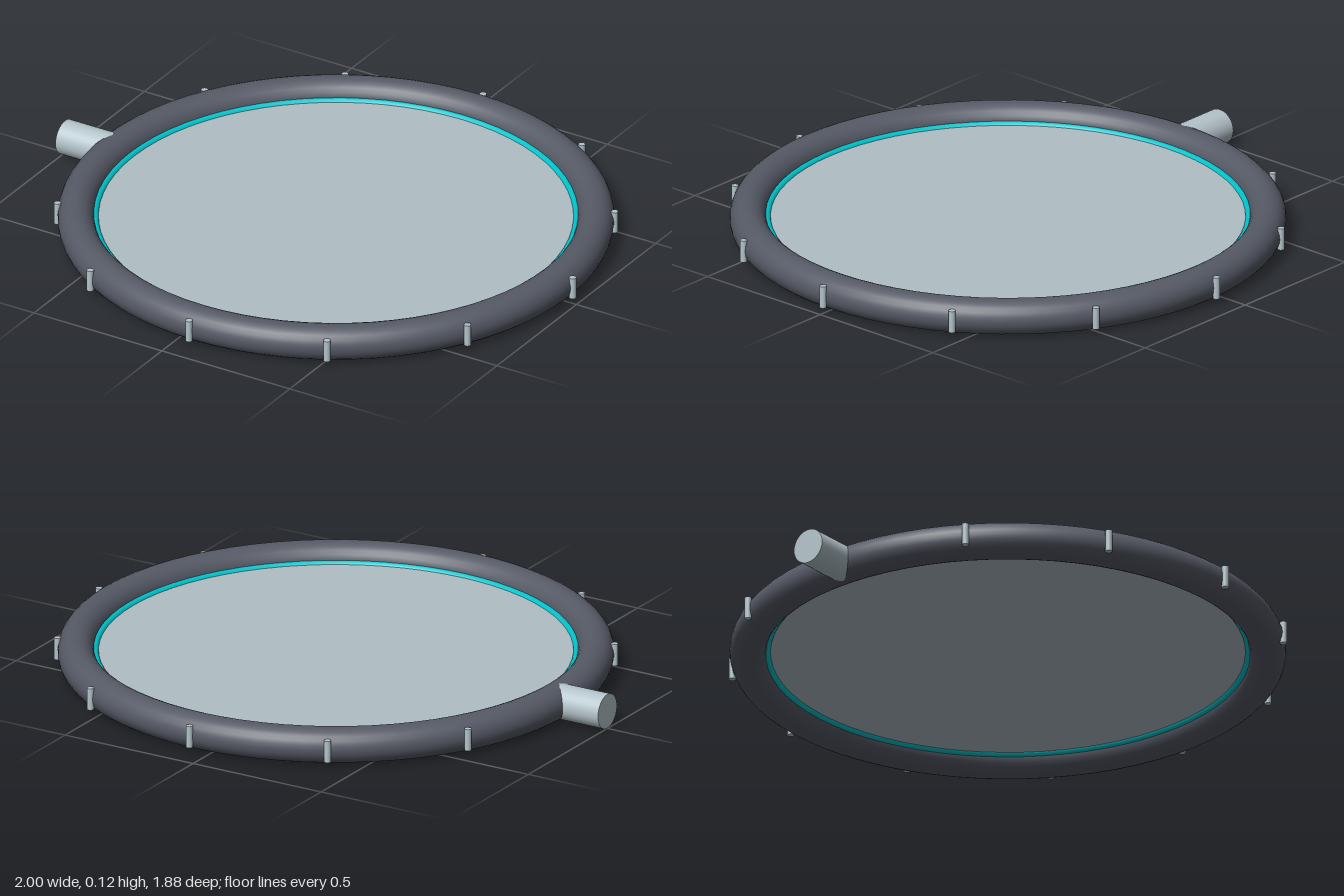
import * as THREE from 'three';

const material = (name, color) => {
  const m = new THREE.MeshStandardMaterial({ color });
  m.name = name;
  return m;
};

export function createModel() {
  const rubber = material('dark grey', 0x565a66);
  const steel = material('pale steel', 0xb4c4cb);
  const glass = material('pale panel', 0xb0bec5);
  const teal = material('teal trim', 0x00c4cc);

  const model = new THREE.Group();
  model.name = 'roundPanel';
  const midY = 0.061;
  const body = new THREE.Group();
  body.name = 'body';
  body.position.set(0.06, midY, 0);
  model.add(body);

  const add = (name, geometry, mat, x = 0, y = 0, z = 0) => {
    const mesh = new THREE.Mesh(geometry, mat);
    mesh.name = name;
    mesh.position.set(x, y, z);
    body.add(mesh);
    return mesh;
  };

  // Thick outer tube
  add('outerRing', new THREE.TorusGeometry(0.864, 0.061, 24, 72).rotateX(Math.PI / 2), rubber);

  // Thin trim where the panel meets the tube
  add('innerTrim', new THREE.TorusGeometry(0.802, 0.014, 12, 72).rotateX(Math.PI / 2), teal);

  // Flat central panel
  add('panel', new THREE.CylinderGeometry(0.8, 0.8, 0.008, 72), glass);

  // Side pipe, running outwards on the right
  add('sidePipe', new THREE.CylinderGeometry(0.06, 0.06, 0.2, 32).rotateZ(Math.PI / 2), steel, -0.96);

  // Upright pins spaced evenly around the rim
  const pin = new THREE.CylinderGeometry(0.012, 0.012, 0.076, 12);
  for (let i = 0; i < 12; i++) {
    const a = (i * Math.PI) / 6;
    add('rimPin', pin, steel, Math.cos(a) * 0.926, 0, Math.sin(a) * 0.926);
  }

  return model;
}
